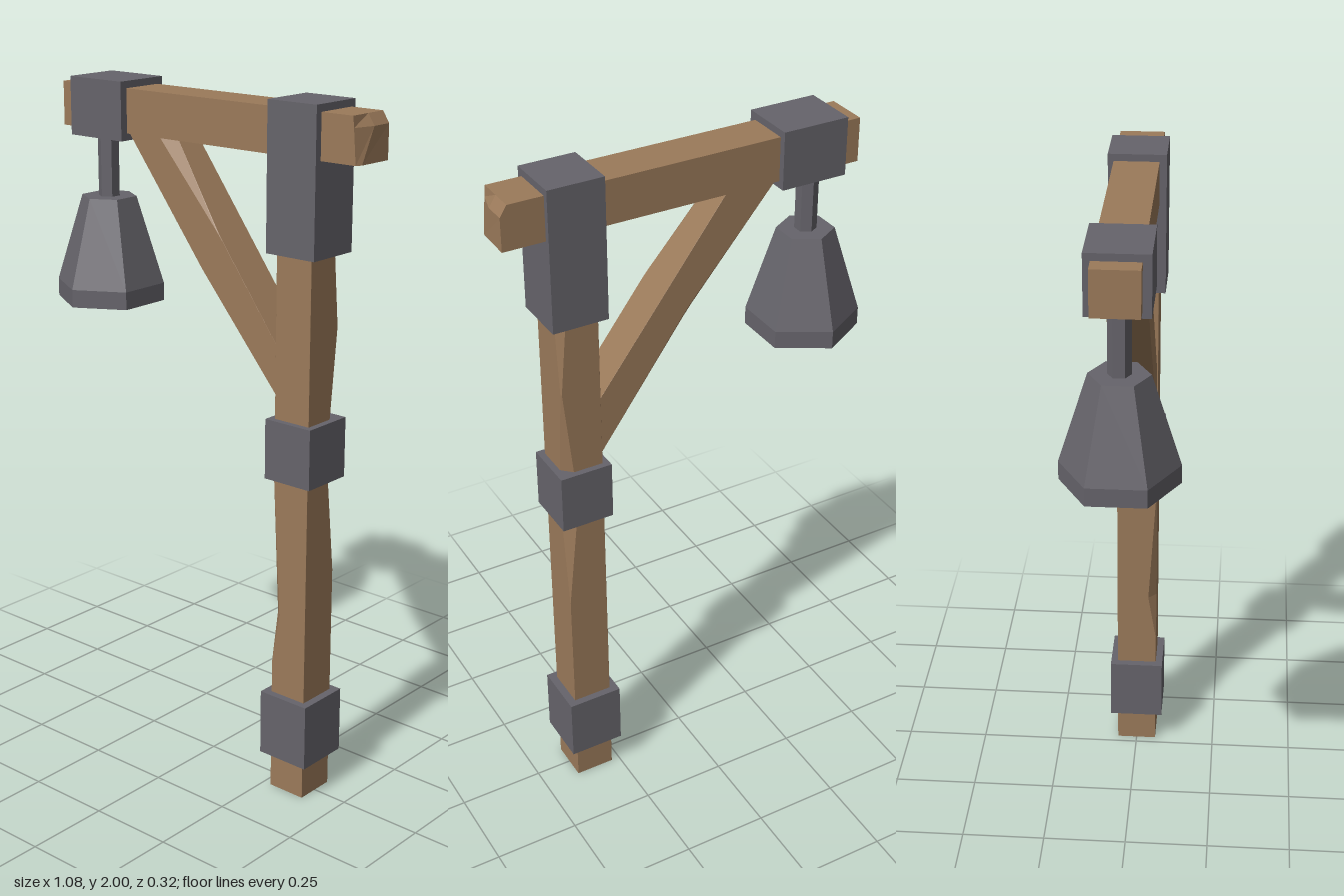
import * as THREE from 'three';

const wood = new THREE.MeshStandardMaterial({ color: 0x9b7a5a, flatShading: true });
const metal = new THREE.MeshStandardMaterial({ color: 0x66646b, flatShading: true });

// Rectangular section from p to q (2D), half depth w, corners cut by
// c = [front p, front q, back q, back p]
function chippedRing(p, q, w, c) {
  const d = q.clone().sub(p).normalize();
  const at = (base, along, z) => new THREE.Vector3(base.x + d.x * along, base.y + d.y * along, z);
  const [fp, fq, bq, bp] = c.map((v) => Math.max(v, 0.0005));
  return [
    at(p, 0, w - fp), at(p, fp, w), at(q, -fq, w), at(q, 0, w - fq),
    at(q, 0, -w + bq), at(q, -bq, -w), at(p, bp, -w), at(p, 0, -w + bp),
  ];
}

// Skin a list of rings and cap both ends
function loft(rings) {
  const pts = [];
  const n = rings[0].length;
  for (let r = 0; r < rings.length - 1; r++) {
    const a = rings[r], b = rings[r + 1];
    for (let i = 0; i < n; i++) {
      const j = (i + 1) % n;
      pts.push(a[i], a[j], b[j], a[i], b[j], b[i]);
    }
  }
  const first = rings[0], last = rings[rings.length - 1];
  for (let i = 1; i < n - 1; i++) {
    pts.push(first[0], first[i + 1], first[i], last[0], last[i], last[i + 1]);
  }
  const geometry = new THREE.BufferGeometry().setFromPoints(pts);
  geometry.computeVertexNormals();
  return geometry;
}

export function createModel() {
  const model = new THREE.Group();
  const add = (name, geometry, material, x = 0, y = 0, z = 0) => {
    const mesh = new THREE.Mesh(geometry, material);
    mesh.name = name;
    mesh.position.set(x, y, z);
    model.add(mesh);
    return mesh;
  };

  // Upright post with worn edges: [height, front left chip, back right chip]
  const postLevels = [
    [0, 0, 0], [0.4, 0, 0], [0.55, 0.025, 0], [0.68, 0.017, 0],
    [0.95, 0, 0.03], [1.12, 0, 0.03], [1.39, 0, 0.003], [1.6, 0, 0.022], [1.9, 0, 0.022],
  ];
  add('post', loft(postLevels.map(([y, fl, br]) => chippedRing(
    new THREE.Vector2(0.275, y), new THREE.Vector2(0.392, y), 0.061, [fl, 0, br, 0]))), wood);

  // Diagonal brace, cut flat against post and beam:
  // [position along brace, lower front chip, upper front chip, lower back chip]
  const lowA = new THREE.Vector2(0.28, 1.16), lowB = new THREE.Vector2(-0.265, 1.86);
  const highA = new THREE.Vector2(0.28, 1.335), highB = new THREE.Vector2(-0.115, 1.86);
  const braceLevels = [[0, 0.035, 0, 0], [0.5, 0, 0, 0.02], [0.55, 0, 0.002, 0.02], [1, 0, 0.035, 0]];
  add('brace', loft(braceLevels.map(([t, fl, fu, bl]) => chippedRing(
    lowA.clone().lerp(lowB, t), highA.clone().lerp(highB, t), 0.058, [fl, fu, 0, bl]))), wood);

  // Horizontal beam with a roughly hewn right end
  const beam = new THREE.BoxGeometry(1.05, 0.125, 0.126, 1, 2, 2);
  const pos = beam.attributes.position;
  const endX = { top: [0.515, 0.515, 0.515], middle: [0.535, 0.535, 0.518], bottom: [0.535, 0.533, 0.526] };
  for (let i = 0; i < pos.count; i++) {
    const x = pos.getX(i), y = pos.getY(i), z = pos.getZ(i);
    const row = y > 0.01 ? 'top' : y < -0.01 ? 'bottom' : 'middle';
    const column = z < -0.01 ? 0 : z > 0.01 ? 2 : 1;
    pos.setX(i, x > 0 ? endX[row][column] : -0.518);
    if (row === 'middle') pos.setY(i, 0.032);
    if (row === 'bottom' && column === 1 && x > 0) pos.setZ(i, 0.045);
  }
  beam.computeVertexNormals();
  add('beam', beam, wood, 0, 1.9175, -0.002);

  // Metal bands: [name, x min, x max, y min, y max, half depth]
  const bands = [
    ['lowerBand', 0.252, 0.415, 0.11, 0.305, 0.082],
    ['middleBand', 0.256, 0.411, 0.96, 1.133, 0.079],
    ['cornerBand', 0.254, 0.415, 1.595, 2, 0.081],
    ['lampBand', -0.466, -0.269, 1.835, 2, 0.084],
  ];
  for (const [name, x0, x1, y0, y1, w] of bands) {
    add(name, new THREE.BoxGeometry(x1 - x0, y1 - y0, w * 2), metal, (x0 + x1) / 2, (y0 + y1) / 2, 0);
  }

  // Hanging rod and hollow six-sided lamp shade
  add('lampRod', new THREE.CylinderGeometry(0.031, 0.031, 0.2, 6), metal, -0.403, 1.745, 0);
  const shade = [
    [0, 1.6], [0.055, 1.6], [0.105, 1.4], [0.105, 1.35],
    [0.16, 1.35], [0.16, 1.402], [0.081, 1.656], [0, 1.656],
  ].map(([r, y]) => new THREE.Vector2(r, y));
  add('lampShade', new THREE.LatheGeometry(shade, 6), metal, -0.403, 0, 0);

  return model;
}
